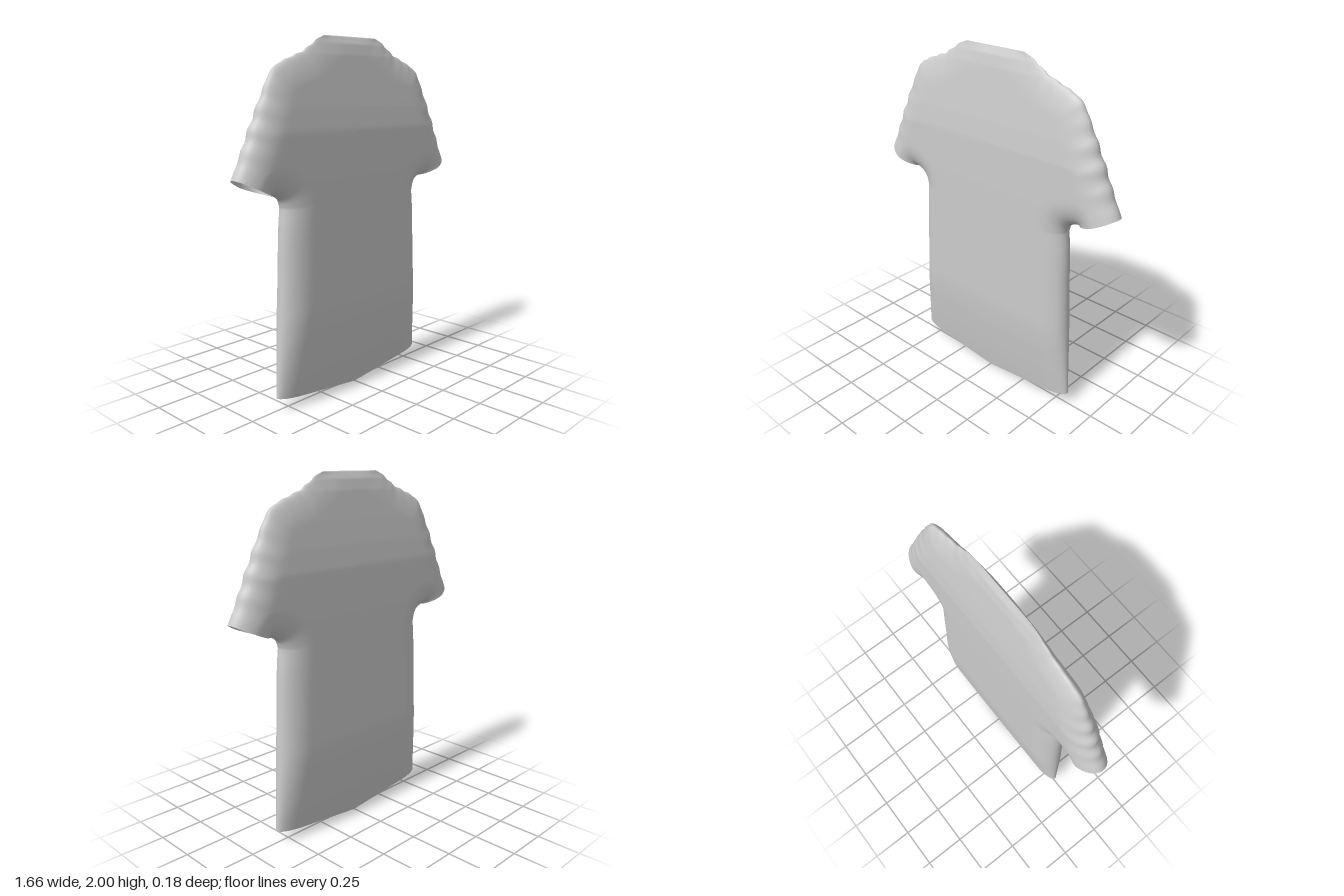
import * as THREE from 'three';
import { mergeVertices } from 'three/addons/utils/BufferGeometryUtils.js';

const V = (x, y) => new THREE.Vector3(x, y, 0);
const lerp = THREE.MathUtils.lerp;

// Half outline, walked from the hem corner up to the neck.
// c: heights on the centre line that each stretch connects to; open: not a seam.
const STRETCHES = [
  { name: 'side', n: 24, c: [0, 1.1], pts: [[0.58, 0.07], [0.563, 0.35], [0.543, 0.7], [0.53, 1.0], [0.52, 1.1]] },
  { name: 'underarm', n: 10, c: [1.1, 1.24], pts: [[0.52, 1.1], [0.535, 1.145], [0.565, 1.17], [0.61, 1.183]] },
  { name: 'cuff', n: 18, c: [1.24, 1.5], open: true, pts: [[0.61, 1.183], [0.72, 1.225], [0.83, 1.28]] },
  { name: 'sleeve', n: 36, c: [1.5, 1.84], ripple: 0.005, pts: [[0.83, 1.28], [0.79, 1.36], [0.7, 1.56], [0.62, 1.73], [0.575, 1.815]] },
  { name: 'shoulder', n: 28, c: [1.84, 2], ripple: 0.004, pts: [[0.575, 1.815], [0.54, 1.84], [0.46, 1.875], [0.36, 1.912], [0.25, 1.98], [0.2, 2]] },
];

// Half thickness of the garment by height
const DEPTH = [[0, 0.034], [0.07, 0.045], [0.2, 0.062], [0.38, 0.082], [0.5, 0.09], [1.25, 0.088],
  [1.5, 0.085], [1.62, 0.073], [1.75, 0.056], [1.9, 0.035], [1.96, 0.021], [2, 0]];
function depthAt(y) {
  const i = Math.max(1, DEPTH.findIndex(p => p[0] >= Math.min(y, 2)));
  const [a, b] = [DEPTH[i - 1], DEPTH[i]];
  return lerp(a[1], b[1], THREE.MathUtils.clamp((y - a[0]) / (b[0] - a[0]), 0, 1));
}

// Rows (edge point and centre height) and the closed seam segments
function traceOutline() {
  const rows = [], seams = [];
  STRETCHES.forEach((s, k) => {
    const curve = new THREE.CatmullRomCurve3(s.pts.map(p => V(...p)), false, 'centripetal');
    let last = null;
    for (let i = 0; i <= s.n; i++) {
      const t = s.open ? (1 - Math.cos(Math.PI * i / s.n)) / 2 : i / s.n;
      const p = curve.getPointAt(t);
      if (s.ripple) {
        const w = s.ripple * Math.sin(t * Math.PI * 10) * Math.sin(t * Math.PI);
        p.x += w; p.y += w * 0.6;
      }
      if (last && !s.open) seams.push(new THREE.Line3(last, p));
      if (i > 0 || k === 0) rows.push({ edge: p, centre: lerp(s.c[0], s.c[1], t) });
      last = p;
    }
  });
  return { rows, seams };
}

function shirtGeometry() {
  const { rows, seams } = traceOutline();
  const HALF = 28, COLS = 2 * HALF + 1, ROUND = 0.15;
  const pos = [], index = [], near = new THREE.Vector3();

  // Rounded cross-section: closes to zero at the seams, full depth inside
  const halfDepth = (p) => {
    let d = ROUND;
    for (const s of seams) d = Math.min(d, s.closestPointToPoint(p, true, near).distanceTo(p));
    const k = 1 - d / ROUND;
    const h = depthAt(p.y) * Math.sqrt(Math.max(0, 1 - k * k));
    return h < 1e-4 ? 0 : h;
  };

  // Both panels share the rows; columns bunch up towards the seams
  for (const side of [1, -1]) {
    const base = pos.length / 3;
    rows.forEach(({ edge, centre }, r) => {
      for (let c = 0; c < COLS; c++) {
        const u = Math.sin((c / HALF - 1) * Math.PI / 2), a = Math.abs(u);
        const p = V(edge.x * a, lerp(centre, edge.y, a));
        pos.push(edge.x * u, p.y, side * halfDepth(p));
        if (r === 0 || c === 0) continue;
        const i = base + r * COLS + c, j = i - COLS;
        if (side > 0) index.push(j - 1, j, i, j - 1, i, i - 1);
        else index.push(j - 1, i, j, j - 1, i - 1, i);
      }
    });
  }
  const g = new THREE.BufferGeometry();
  g.setAttribute('position', new THREE.Float32BufferAttribute(pos, 3));
  g.setIndex(index);
  const joined = mergeVertices(g, 1e-5); // joins the panels along the seams
  joined.computeVertexNormals();
  return joined;
}

export function createModel() {
  const group = new THREE.Group();
  group.name = 'tShirt';
  const material = new THREE.MeshStandardMaterial({ color: 0xcccccc, side: THREE.DoubleSide });
  const shirt = new THREE.Mesh(shirtGeometry(), material);
  shirt.name = 'shirtBody';
  group.add(shirt);
  return group;
}
